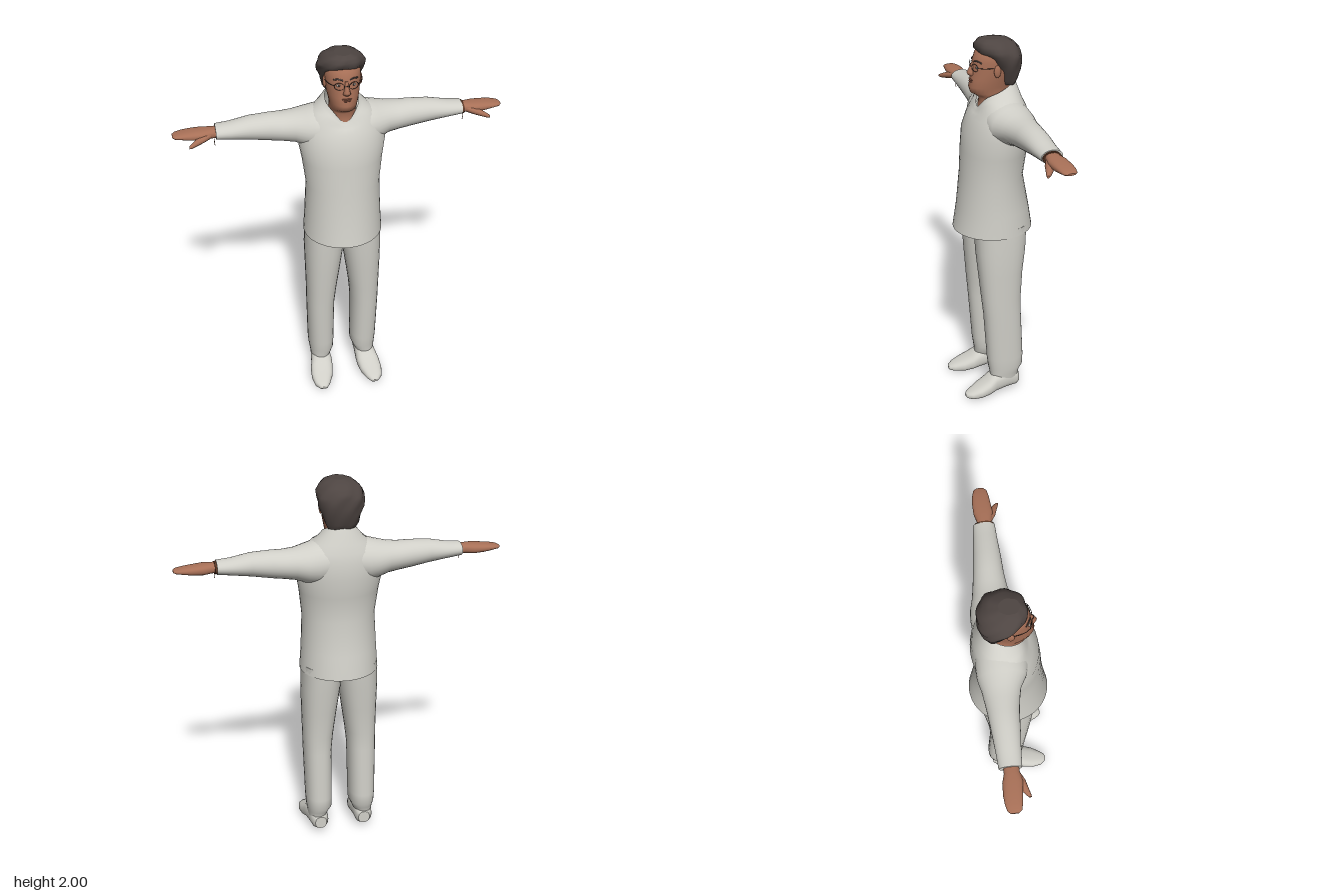
import * as THREE from 'three';

const paint = (name, color) => {
  const m = new THREE.MeshStandardMaterial({ color });
  m.name = name;
  return m;
};
const cloth = paint('pale cloth', 0xd0cfc8);
cloth.side = THREE.DoubleSide;
const skin = paint('skin', 0xa87057);
const lip = paint('lips', 0x85503f);
const hairMat = paint('hair', 0x4e4542);
const dark = paint('dark frame', 0x38312e);
const white = paint('eye white', 0xc9c4bd);
const strapMat = paint('wrist strap', 0x5c3826);

// Coordinate order of (a, b, axis) for each loft direction
const ORDER = { x: [2, 1, 0], y: [0, 2, 1], z: [1, 0, 2] };

// Skin over oval cross-sections { s, a: [min,max], b: [min,max] } along an axis;
// tilt slopes a section, dip lowers its front, wave ruffles it.
function loft(axis, rings, { seg = 28, pow = 2, wave = 0, capEnd = true } = {}) {
  const pos = [], idx = [], order = ORDER[axis];
  const put = (a, b, s) => {
    const p = [0, 0, 0];
    p[order[0]] = a; p[order[1]] = b; p[order[2]] = s;
    return pos.push(...p) / 3 - 1;
  };
  const sections = rings.map(({ s, a, b, tilt = 0, dip = 0 }) => {
    const out = [];
    for (let i = 0; i < seg; i++) {
      const t = (i / seg) * Math.PI * 2, c = Math.cos(t), d = Math.sin(t);
      const w = 1 + wave * (Math.sin(7 * t + s * 55) + 0.6 * Math.sin(4 * t - s * 80));
      const e = (v) => Math.sign(v) * Math.abs(v) ** (2 / pow) * w;
      out.push([
        (a[0] + a[1]) / 2 + e(c) * (a[1] - a[0]) / 2,
        (b[0] + b[1]) / 2 + e(d) * (b[1] - b[0]) / 2,
        s - tilt * d - dip * Math.max(0, d) ** 6]);
    }
    return out;
  });
  sections.forEach((sec) => sec.forEach((p) => put(...p)));
  for (let r = 0; r < rings.length - 1; r++) for (let i = 0; i < seg; i++) {
    const j = (i + 1) % seg, p = r * seg, q = p + seg;
    idx.push(p + i, q + i, p + j, p + j, q + i, q + j);
  }
  const cap = (sec, ring, end) => {
    const mid = put((ring.a[0] + ring.a[1]) / 2, (ring.b[0] + ring.b[1]) / 2, ring.s);
    sec.forEach((p) => put(...p));
    for (let i = 0; i < seg; i++) {
      const u = mid + 1 + i, v = mid + 1 + (i + 1) % seg;
      idx.push(mid, ...(end ? [v, u] : [u, v]));
    }
  };
  cap(sections[0], rings[0], false);
  if (capEnd) cap(sections.at(-1), rings.at(-1), true);
  const g = new THREE.BufferGeometry();
  g.setAttribute('position', new THREE.Float32BufferAttribute(pos, 3));
  g.setIndex(idx);
  g.computeVertexNormals();
  return g;
}

// Section tables: body [y, halfWidth, zBack, zFront, tilt, dip], limb [s, aMin, aMax, bMin, bMax]
const body = (rows) => rows.map(([s, w, z0, z1, tilt, dip]) => ({ s, a: [-w, w], b: [z0, z1], tilt, dip }));
const limb = (rows) => rows.map(([s, a0, a1, b0, b1]) => ({ s, a: [a0, a1], b: [b0, b1] }));

function mirrored(geo) {
  const g = geo.clone().scale(-1, 1, 1);
  const n = g.index.array;
  for (let i = 0; i < n.length; i += 3) [n[i + 1], n[i + 2]] = [n[i + 2], n[i + 1]];
  g.computeVertexNormals();
  return g;
}

const ball = (x, y, z, sx, sy, sz) => new THREE.SphereGeometry(1, 16, 10).scale(sx, sy, sz).translate(x, y, z);
const rod = (pts, r) => new THREE.TubeGeometry(
  new THREE.CatmullRomCurve3(pts.map((p) => new THREE.Vector3(...p))), 8, r, 6);

export function createModel() {
  const model = new THREE.Group();
  model.name = 'standingMan';
  const add = (name, geo, mat) => {
    const m = new THREE.Mesh(geo, mat);
    m.name = name;
    model.add(m);
  };
  const pair = (name, geo, mat) => {
    add('left' + name, geo, mat);
    add('right' + name, mirrored(geo), mat);
  };

  // Loose tunic with a V neck
  add('tunic', loft('y', body([
    [0.98, 0.208, -0.21, 0.21], [1.1, 0.2, -0.19, 0.19], [1.28, 0.192, -0.155, 0.17],
    [1.42, 0.208, -0.173, 0.161], [1.52, 0.225, -0.186, 0.15], [1.6, 0.215, -0.178, 0.12],
    [1.65, 0.19, -0.168, 0.1, 0, 0.03], [1.69, 0.145, -0.15, 0.092, 0, 0.055],
    [1.72, 0.105, -0.125, 0.086, 0.04, 0.04], [1.742, 0.084, -0.108, 0.08, 0.04, 0.05],
  ]), { seg: 40, capEnd: false }), cloth);

  // Sleeves, widening into the shoulders
  pair('Sleeve', loft('x', limb([
    [0.07, -0.165, 0.075, 1.48, 1.705], [0.13, -0.17, 0.085, 1.47, 1.697], [0.18, -0.167, 0.07, 1.484, 1.684],
    [0.24, -0.152, 0.038, 1.508, 1.671], [0.3, -0.143, 0.026, 1.518, 1.666], [0.36, -0.135, 0.018, 1.526, 1.667],
    [0.46, -0.125, 0.012, 1.543, 1.662], [0.56, -0.115, 0.004, 1.557, 1.642], [0.632, -0.11, 0, 1.566, 1.635],
  ])), cloth);

  // Hands with thumbs
  pair('Hand', loft('x', limb([
    [0.6, -0.09, -0.015, 1.574, 1.625], [0.655, -0.088, -0.014, 1.574, 1.625], [0.7, -0.1, -0.003, 1.57, 1.625],
    [0.76, -0.102, -0.01, 1.576, 1.62], [0.8, -0.098, -0.015, 1.583, 1.615], [0.832, -0.09, -0.022, 1.588, 1.609],
    [0.845, -0.075, -0.038, 1.593, 1.603],
  ]), { pow: 2.4 }), skin);
  pair('Thumb', loft('x', limb([
    [0.65, -0.06, -0.015, 1.58, 1.615], [0.69, -0.045, 0.008, 1.57, 1.608],
    [0.73, -0.02, 0.02, 1.561, 1.595], [0.755, 0.002, 0.028, 1.558, 1.582], [0.768, 0.016, 0.03, 1.56, 1.574],
  ]), { seg: 12 }), skin);

  // Wrist strap and loose cuff threads
  add('wristStrap', loft('x', limb([
    [0.63, -0.1, -0.005, 1.568, 1.63], [0.642, -0.1, -0.005, 1.568, 1.63],
  ])), strapMat);
  pair('CuffThread', rod([[0.638, 1.575, -0.03], [0.641, 1.555, -0.028], [0.639, 1.535, -0.03]], 0.0015), strapMat);

  // Trousers, tucking in at the ankles
  pair('TrouserLeg', loft('y', limb([
    [0.085, 0.085, 0.178, -0.1, 0.055], [0.125, 0.066, 0.184, -0.105, 0.058],
    [0.16, 0.052, 0.189, -0.128, 0.064], [0.22, 0.05, 0.193, -0.13, 0.072],
    [0.5, 0.047, 0.199, -0.115, 0.092], [0.6, 0.037, 0.2, -0.115, 0.102], [0.75, 0.016, 0.203, -0.125, 0.115],
    [0.88, -0.002, 0.205, -0.142, 0.126], [1.02, -0.01, 0.2, -0.15, 0.132],
  ]), { pow: 2.3 }), cloth);

  // Shoes, pointing slightly outwards
  pair('Shoe', loft('z', limb([
    [-0.105, 0.032, 0.1, 0.092, 0.155], [-0.085, 0.024, 0.125, 0.078, 0.172], [-0.03, 0.022, 0.14, 0.075, 0.18],
    [0.04, 0.014, 0.125, 0.07, 0.19], [0.08, 0.005, 0.095, 0.073, 0.2], [0.13, 0, 0.07, 0.084, 0.203],
    [0.18, 0.001, 0.048, 0.108, 0.192], [0.205, 0.007, 0.037, 0.125, 0.172], [0.212, 0.014, 0.028, 0.138, 0.16],
  ]), { pow: 2.5 }), cloth);

  // Head and neck
  add('head', loft('y', body([
    [1.6, 0.07, -0.08, 0.08], [1.66, 0.068, -0.085, 0.074], [1.695, 0.067, -0.09, 0.068],
    [1.712, 0.067, -0.09, 0.085], [1.73, 0.067, -0.09, 0.115], [1.76, 0.072, -0.095, 0.124],
    [1.8, 0.081, -0.1, 0.115], [1.85, 0.088, -0.11, 0.107], [1.89, 0.09, -0.11, 0.102],
    [1.93, 0.088, -0.1, 0.088], [1.97, 0.06, -0.07, 0.05],
  ])), skin);
  add('nose', loft('y', body([
    [1.815, 0.012, 0.09, 0.118], [1.824, 0.02, 0.09, 0.129], [1.836, 0.016, 0.09, 0.134],
    [1.86, 0.01, 0.09, 0.121], [1.888, 0.008, 0.085, 0.107],
  ]), { seg: 12 }), skin);
  add('upperLip', ball(0, 1.797, 0.113, 0.026, 0.004, 0.007), lip);
  add('lowerLip', ball(0, 1.787, 0.113, 0.021, 0.004, 0.008), lip);
  pair('Ear', ball(0.09, 1.85, 0.005, 0.009, 0.032, 0.018), skin);
  pair('Eye', ball(0.036, 1.865, 0.093, 0.013, 0.006, 0.006), white);
  pair('Pupil', ball(0.036, 1.865, 0.097, 0.005, 0.005, 0.004), dark);
  pair('Eyebrow', rod([[0.016, 1.892, 0.1], [0.038, 1.897, 0.091], [0.06, 1.89, 0.076]], 0.004), hairMat);

  // Wavy hair, swept back from the forehead
  add('hair', loft('y', body([
    [1.765, 0.07, -0.115, -0.035], [1.79, 0.084, -0.13, -0.018], [1.84, 0.1, -0.142, 0],
    [1.875, 0.113, -0.147, 0.025], [1.905, 0.12, -0.146, 0.04], [1.925, 0.12, -0.144, 0.065],
    [1.945, 0.115, -0.136, 0.086], [1.97, 0.1, -0.118, 0.088], [1.988, 0.076, -0.09, 0.078],
    [2.0, 0.04, -0.045, 0.055],
  ]), { seg: 36, pow: 2.1, wave: 0.028 }), hairMat);

  // Narrow spectacles following the face
  pair('SpectacleRim', new THREE.TorusGeometry(0.025, 0.0016, 6, 24).scale(1, 0.75, 1)
    .rotateY(0.3).translate(0.036, 1.864, 0.104), dark);
  pair('SpectacleArm', rod([[0.06, 1.868, 0.097], [0.078, 1.868, 0.072], [0.09, 1.868, 0.03], [0.092, 1.866, 0]], 0.0016), dark);
  add('spectacleBridge', rod([[-0.012, 1.866, 0.112], [0, 1.87, 0.12], [0.012, 1.866, 0.112]], 0.0016), dark);

  return model;
}
